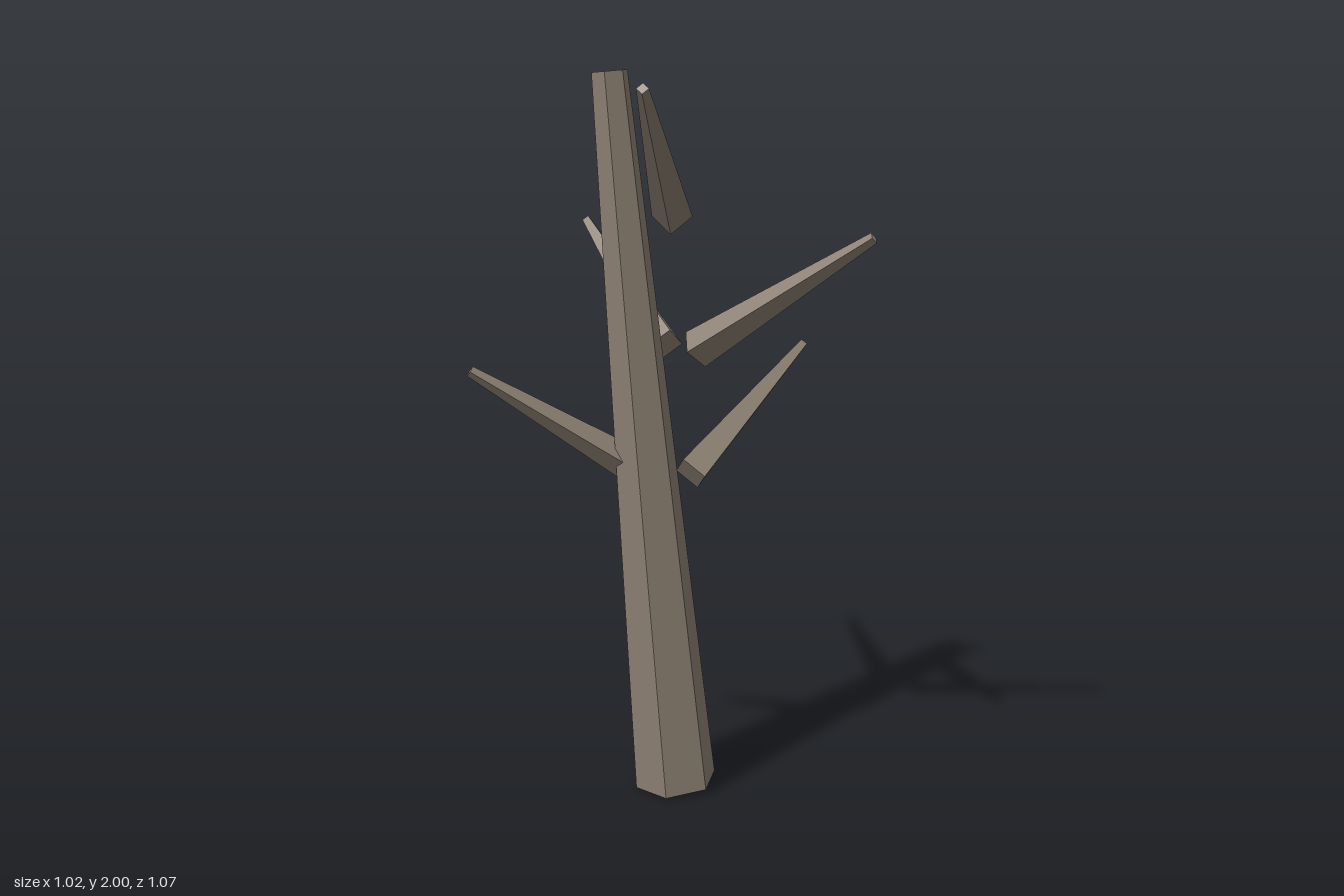
import * as THREE from 'three';

export function createModel() {
  const group = new THREE.Group();
  const bark = new THREE.MeshStandardMaterial({ color: 0x8c8072, flatShading: true });
  const up = new THREE.Vector3(0, 1, 0);

  // Tapered faceted limb running from one point to another
  function addLimb(name, from, to, rBase, rTip, sides, orient) {
    const axis = to.clone().sub(from);
    const limb = new THREE.Mesh(new THREE.CylinderGeometry(rTip, rBase, axis.length(), sides), bark);
    limb.name = name;
    limb.position.copy(from).add(to).multiplyScalar(0.5);
    orient(limb, axis);
    group.add(limb);
  }

  // Leaning six-sided trunk
  addLimb('trunk', new THREE.Vector3(-0.055, 0.014, 0), new THREE.Vector3(-0.213, 1.996, -0.079),
    0.118, 0.048, 6, (m, axis) => m.quaternion.setFromUnitVectors(up, axis.normalize()));

  // Four-sided branches fanned in fifths of a turn: [fifth, height of the base]
  const branches = [[0, 0.91], [1, 1.27], [2, 1.627], [3, 0.91], [4, 1.27]];
  for (const [fifth, y] of branches) {
    const a = fifth * Math.PI * 2 / 5;
    const at = (r, h) => new THREE.Vector3(-0.053 + r * Math.cos(a), h, r * Math.sin(a));
    addLimb('branch' + (fifth + 1), at(0.06, y), at(0.553, y + 0.314), 0.054, 0.015, 4, (m, axis) => {
      // pitch outward, then turn about the trunk, so one edge stays on top
      m.rotation.set(0, -a, -Math.acos(axis.y / axis.length()), 'YZX');
    });
  }
  return group;
}
